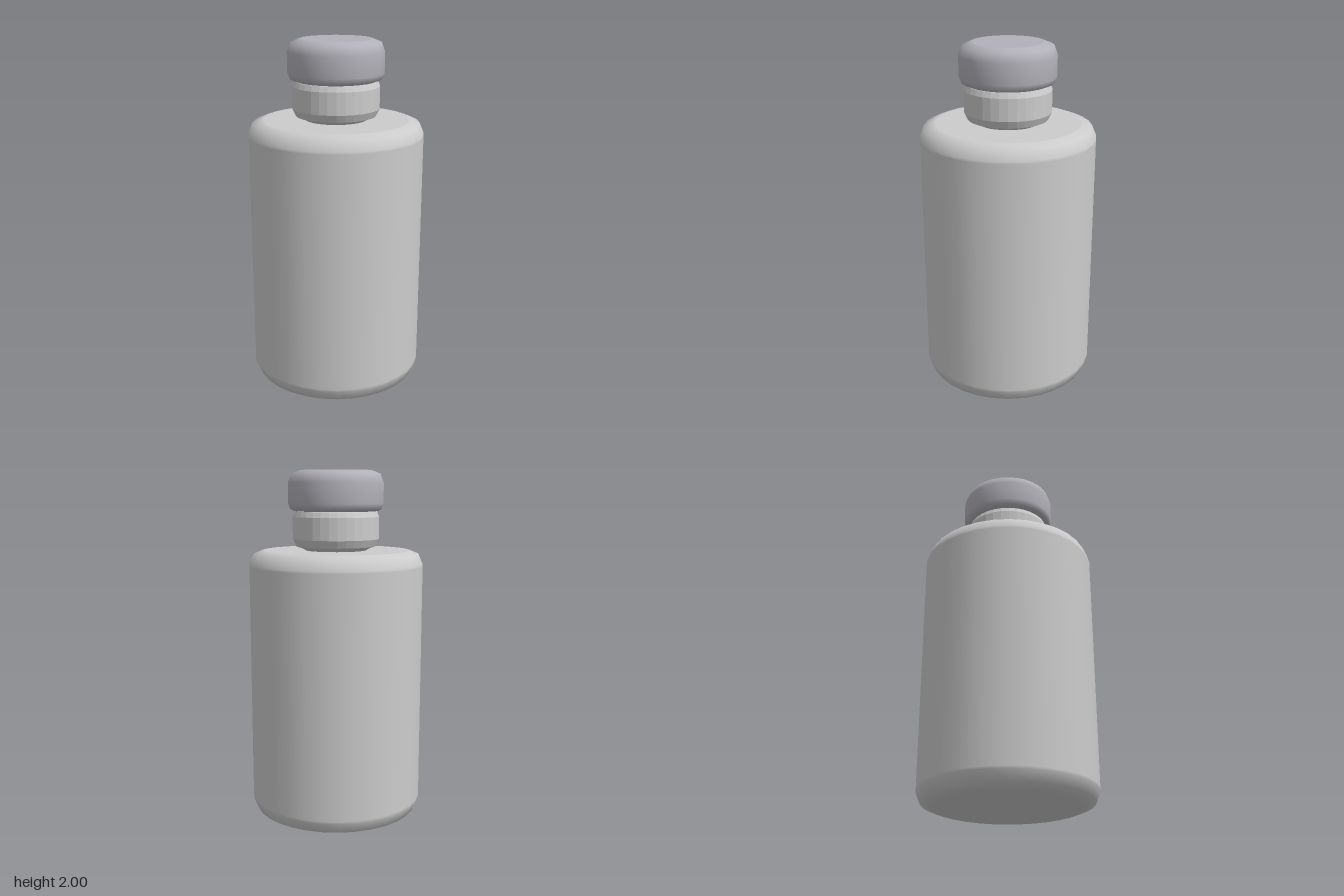
import * as THREE from 'three';

const SIDES = 32;

// Revolves a bottom-to-top list of [radius, height] points around the y axis.
function turned(name, profile, color, flatShading = false) {
  const points = profile.map(([r, y]) => new THREE.Vector2(r, y));
  const material = new THREE.MeshStandardMaterial({ color, flatShading });
  const mesh = new THREE.Mesh(new THREE.LatheGeometry(points, SIDES), material);
  mesh.name = name;
  return mesh;
}

export function createModel() {
  const group = new THREE.Group();
  group.name = 'bottle';

  // Cylindrical body; extra rings beside the bevels keep the large faces flat
  group.add(turned('body', [
    [0, 0], [0.41, 0], [0.425, 0.003], [0.476, 0.022], [0.5, 0.08], [0.5, 0.095],
    [0.5, 1.46], [0.5, 1.475], [0.476, 1.53], [0.425, 1.55], [0.41, 1.55], [0, 1.55],
  ], 0xcccccc));

  // Faceted neck with rounded ends, tapering into the shoulder
  group.add(turned('neck', [
    [0, 1.55], [0.175, 1.55], [0.19, 1.56], [0.228, 1.573], [0.248, 1.615],
    [0.248, 1.74], [0.236, 1.77], [0.2, 1.78], [0, 1.78],
  ], 0xcccccc, true));

  // Smooth rounded stopper
  group.add(turned('cap', [
    [0, 1.77], [0.22, 1.77], [0.235, 1.772], [0.26, 1.782], [0.273, 1.815],
    [0.273, 1.93], [0.255, 1.98], [0.205, 2], [0.19, 2], [0, 2],
  ], 0xb2b0b8));

  return group;
}
